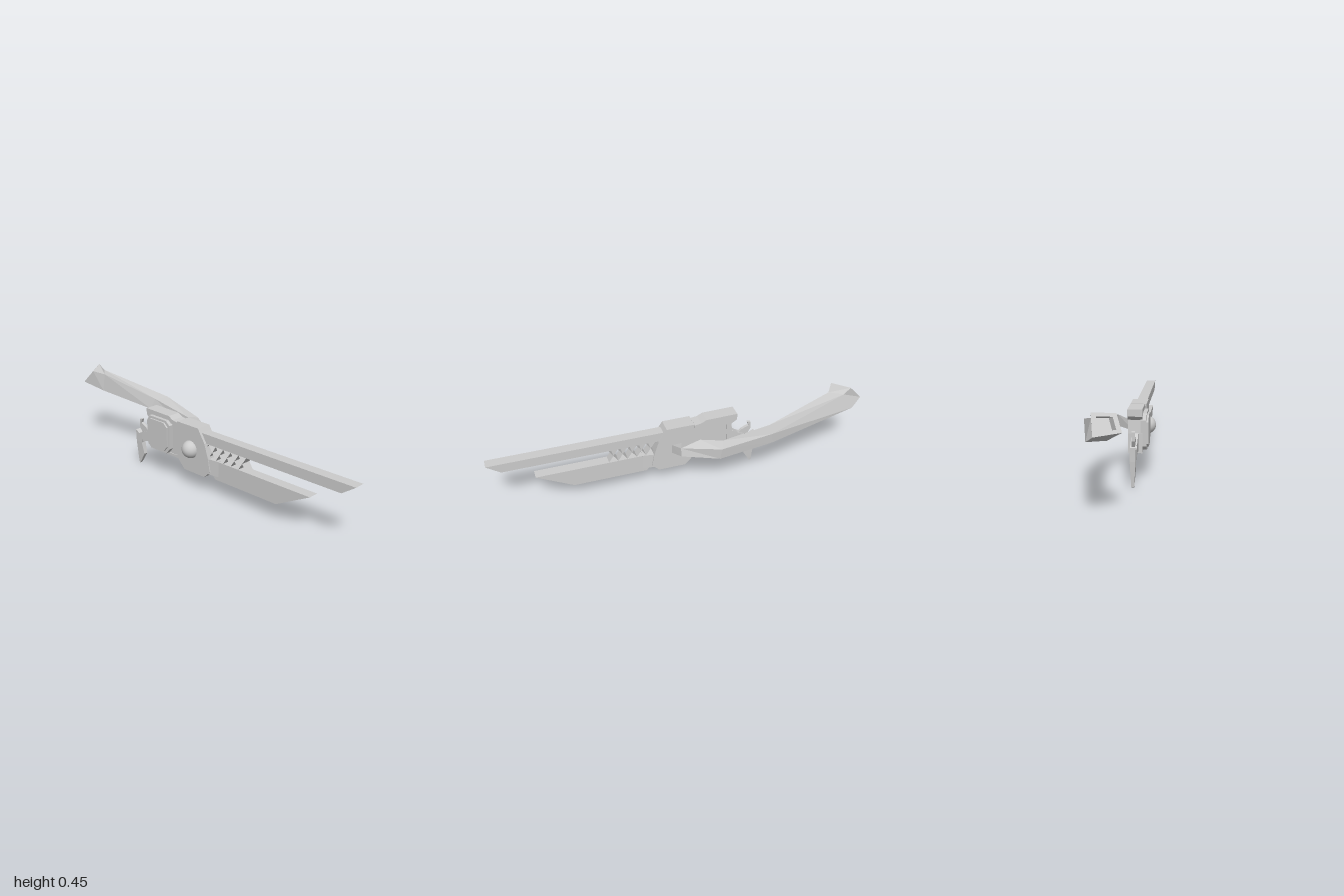
import * as THREE from 'three';

const CX = -0.072; // centre plane of the weapon body
const mat = new THREE.MeshStandardMaterial({ color: 0xcccccc, flatShading: true });
const thin = new THREE.MeshStandardMaterial({ color: 0xcccccc, flatShading: true, side: THREE.DoubleSide });
const smooth = new THREE.MeshStandardMaterial({ color: 0xcccccc });

// Side outline given as [z, y] points, extruded across x
function slab(name, pts, halfWidth, cx = CX) {
  const shape = new THREE.Shape(pts.map(([z, y]) => new THREE.Vector2(z, y)));
  const g = new THREE.ExtrudeGeometry(shape, { depth: halfWidth * 2, bevelEnabled: false });
  g.translate(0, 0, -halfWidth);
  g.rotateY(-Math.PI / 2);
  const mesh = new THREE.Mesh(g, mat);
  mesh.name = name;
  mesh.position.x = cx;
  return mesh;
}

// Skin through four-cornered sections, closed at both ends
function loft(name, sections) {
  const pos = sections.flat(2), idx = [], n = sections.length;
  for (let s = 0; s < n - 1; s++) {
    for (let i = 0; i < 4; i++) {
      const a = s * 4 + i, a1 = s * 4 + (i + 1) % 4;
      idx.push(a, a + 4, a1, a1, a + 4, a1 + 4);
    }
  }
  const e = (n - 1) * 4;
  idx.push(0, 1, 2, 0, 2, 3, e, e + 2, e + 1, e, e + 3, e + 2);
  const g = new THREE.BufferGeometry();
  g.setAttribute('position', new THREE.Float32BufferAttribute(pos, 3));
  g.setIndex(idx);
  const flat = g.toNonIndexed();
  flat.computeVertexNormals();
  const mesh = new THREE.Mesh(flat, mat);
  mesh.name = name;
  return mesh;
}

// Rectangular section at depth z
const rect = (z, h, y0, y1) => [[CX + h, y1, z], [CX - h, y1, z], [CX - h, y0, z], [CX + h, y0, z]];

export function createModel() {
  const model = new THREE.Group();
  model.name = 'bladedRifle';

  // Two blade-like rails
  model.add(slab('upperRail', [[1, 0.322], [0.93, 0.272], [0.05, 0.272], [0.05, 0.322]], 0.0275));
  model.add(slab('lowerRail', [[0.77, 0.197], [0.58, 0.096], [0.19, 0.096], [0.16, 0.13], [0.05, 0.13], [0.05, 0.197]], 0.0275));

  // Crossed thin plates between the rails
  const lattice = new THREE.Group();
  lattice.name = 'lattice';
  const pitch = 0.05, gap = 0.075;
  for (let i = 0; i < 6; i++) {
    for (const s of [-1, 1]) {
      const plate = new THREE.Mesh(new THREE.PlaneGeometry(0.052, Math.hypot(pitch, gap)), thin);
      plate.name = 'latticePlate';
      plate.position.set(CX, 0.2345, 0.365 - i * pitch);
      plate.rotation.x = s * Math.atan2(pitch, gap);
      lattice.add(plate);
    }
  }
  model.add(lattice);

  // Central body and the collar tapering into the lower rail
  model.add(slab('body', [[0.08, 0.345], [0.125, 0.275], [0.15, 0.2], [0.163, 0.13], [0.125, 0.093],
    [-0.02, 0.093], [-0.06, 0.135], [-0.07, 0.16], [-0.07, 0.345]], 0.041));
  model.add(loft('collar', [rect(0.21, 0.0278, 0.115, 0.198), rect(0.12, 0.041, 0.115, 0.198)]));

  // Rear housing: core, cap, lower rail and rear post
  model.add(slab('housingCore', [[-0.05, 0.325], [-0.05, 0.145], [-0.28, 0.145], [-0.28, 0.325]], 0.031));
  model.add(slab('housingCap', [[-0.075, 0.318], [-0.075, 0.335], [-0.11, 0.34], [-0.14, 0.355], [-0.312, 0.357],
    [-0.312, 0.322], [-0.28, 0.3], [-0.26, 0.318]], 0.036));
  model.add(slab('housingRail', [[-0.05, 0.165], [-0.05, 0.137], [-0.285, 0.137], [-0.285, 0.155], [-0.1, 0.15]], 0.035));
  model.add(slab('housingPost', [[-0.25, 0.32], [-0.265, 0.14], [-0.288, 0.14], [-0.288, 0.235], [-0.28, 0.32]], 0.035));

  // Stacked cover plates on the right side
  const plateOutline = (m) => [[-0.115 - m, 0.31 - m], [-0.14 - m, 0.332 - m], [-0.27 + m, 0.332 - m], [-0.29 + m, 0.3 - m],
    [-0.285 + m, 0.17 + m], [-0.26 + m, 0.15 + m], [-0.14 - m, 0.15 + m], [-0.115 - m, 0.18 + m]];
  model.add(slab('coverPlate', plateOutline(0), 0.014, -0.113));
  model.add(slab('outerCoverPlate', plateOutline(0.012), 0.015, -0.121));

  // Dome on the right side of the body
  const dome = new THREE.Mesh(new THREE.SphereGeometry(0.047, 32, 20), smooth);
  dome.name = 'dome';
  dome.position.set(-0.11, 0.218, 0.025);
  model.add(dome);

  // Rear mount with curved fin and tapering lower blade
  model.add(slab('rearMount', [[-0.27, 0.24], [-0.3, 0.235], [-0.33, 0.215], [-0.365, 0.2], [-0.385, 0.185], [-0.375, 0.14],
    [-0.335, 0.155], [-0.27, 0.142]], 0.016));
  model.add(slab('rearFin', [[-0.325, 0.2], [-0.355, 0.228], [-0.395, 0.245], [-0.385, 0.268], [-0.405, 0.265],
    [-0.437, 0.23], [-0.405, 0.222], [-0.385, 0.19]].filter((p, i) => i !== 5), 0.008));
  const blade = slab('rearBlade', [[-0.37, 0.2], [-0.405, 0.182], [-0.432, 0.197], [-0.43, 0.13], [-0.42, 0.005], [-0.412, 0],
    [-0.372, 0.065], [-0.388, 0.13]], 0.015);
  const bp = blade.geometry.attributes.position;
  for (let i = 0; i < bp.count; i++) bp.setX(i, bp.getX(i) * (0.45 + 0.55 * Math.min(1, bp.getY(i) / 0.15)));
  blade.geometry.computeVertexNormals();
  model.add(blade);

  // Bent arm on the left side; corners run outer top, inner top, inner bottom, outer bottom
  const arm = [
    [[-0.04, 0.238, 0.055], [-0.04, 0.24, -0.005], [-0.04, 0.19, -0.005], [-0.04, 0.188, 0.058]],
    [[0.037, 0.262, 0.025], [0.032, 0.29, -0.08], [0.03, 0.225, -0.06], [0.046, 0.216, 0.025]],
    [[0.132, 0.279, -0.165], [0.076, 0.29, -0.19], [0.07, 0.225, -0.18], [0.125, 0.214, -0.16]],
    [[0.155, 0.332, -0.43], [0.077, 0.332, -0.45], [0.06, 0.272, -0.47], [0.15, 0.273, -0.44]],
    [[0.057, 0.42, -0.88], [0.008, 0.416, -0.815], [0.0, 0.316, -0.825], [0.072, 0.333, -0.935]],
    [[0.052, 0.45, -0.92], [-0.043, 0.437, -0.855], [-0.071, 0.368, -0.91], [0.035, 0.366, -1]],
  ];
  // Socket sunk into the flared end
  const end = arm[5];
  const mid = [0, 1, 2].map((k) => end.reduce((sum, p) => sum + p[k] / 4, 0));
  const rim = end.map((p) => p.map((v, k) => v + (mid[k] - v) * 0.35));
  arm.push(rim, rim.map(([x, y, z]) => [x + 0.02, y - 0.012, z + 0.035]));
  model.add(loft('arm', arm));

  return model;
}
